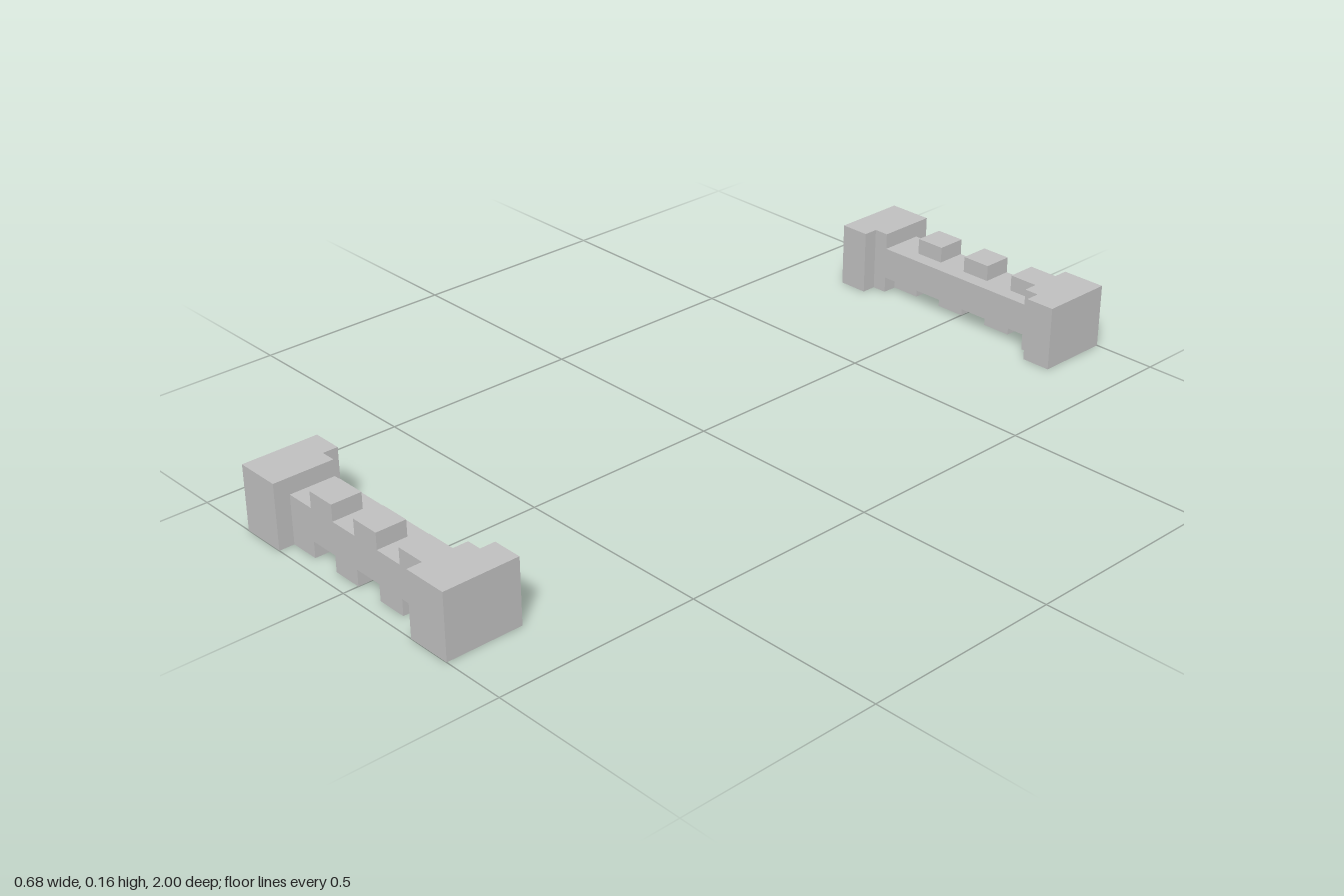
import * as THREE from 'three';

const U = 0.0377;            // plan module
const H = 0.16;              // full height
const LOW = 0.04, HIGH = 0.12; // rail bottom and top

export function createModel() {
  const grey = new THREE.MeshStandardMaterial({ color: 0xbfbfbf });
  grey.name = 'plain grey';
  const model = new THREE.Group();
  model.name = 'notchedBarPair';

  // Box from its limits
  function box(parent, name, x0, x1, y0, y1, z0, z1) {
    const mesh = new THREE.Mesh(new THREE.BoxGeometry(x1 - x0, y1 - y0, z1 - z0), grey);
    mesh.position.set((x0 + x1) / 2, (y0 + y1) / 2, (z0 + z1) / 2);
    mesh.name = name;
    parent.add(mesh);
  }

  // Stepped end block: plan outline extruded upwards; sx and sz mirror it
  function endBlock(parent, name, sx, sz) {
    const plan = [[6 * U, 1], [9 * U, 1], [9 * U, 1 - 5 * U], [7 * U, 1 - 5 * U], [7 * U, 1 - 4 * U], [6 * U, 1 - 4 * U]];
    const shape = new THREE.Shape(plan.map(([x, z]) => new THREE.Vector2(x * sx, -z * sz)));
    const geometry = new THREE.ExtrudeGeometry(shape, { depth: H, bevelEnabled: false });
    geometry.rotateX(-Math.PI / 2);
    const mesh = new THREE.Mesh(geometry, grey);
    mesh.name = name;
    parent.add(mesh);
  }

  for (const sz of [1, -1]) {
    const bar = new THREE.Group();
    bar.name = sz > 0 ? 'frontBar' : 'rearBar';
    model.add(bar);

    endBlock(bar, 'leftEndBlock', 1, sz);
    endBlock(bar, 'rightEndBlock', -1, sz);

    // z limits measured inwards from the outer face
    const span = (a, b) => [sz * (1 - a * U), sz * (1 - b * U)].sort((p, q) => p - q);
    box(bar, 'rail', -6 * U, 6 * U, LOW, HIGH, ...span(1, 4));

    // Teeth alternate below and above the rail
    for (let i = 0; i < 6; i++) {
      const x = (-6 + 2 * i) * U;
      const upper = i % 2 === 1;
      box(bar, upper ? 'upperTooth' : 'lowerTooth', x, x + 2 * U,
        upper ? HIGH : 0, upper ? H : LOW, ...span(1, 3));
    }
  }
  return model;
}
